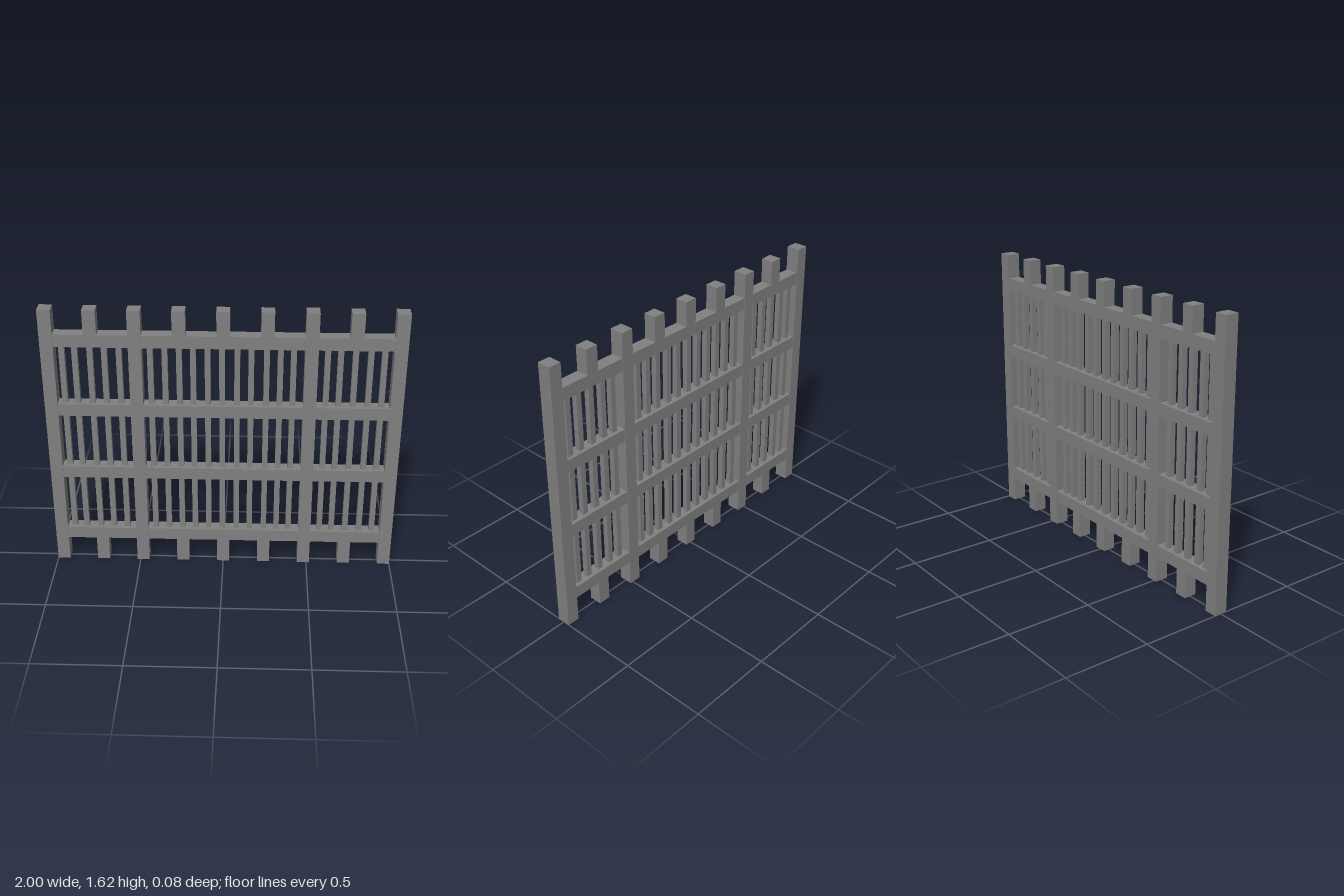
import * as THREE from 'three';

export function createModel() {
  const group = new THREE.Group();
  const grey = new THREE.MeshStandardMaterial({ color: 0x808080 });
  grey.name = 'iron grey';

  const HEIGHT = 1.62, WIDTH = 0.073, SPACING = 0.241;
  const RAIL_DEPTH = 0.074, POST_DEPTH = 0.08;
  const rails = [0.187, 0.61, 1.015, 1.439];

  // box spanning y0..y1, centred on x and z = 0
  function box(name, x, y0, y1, w, d) {
    const mesh = new THREE.Mesh(new THREE.BoxGeometry(w, y1 - y0, d), grey);
    mesh.name = name;
    mesh.position.set(x, (y0 + y1) / 2, 0);
    group.add(mesh);
  }

  // full-height posts at every multiple of the spacing marked here, short stubs between them
  const railBottom = rails[0] - WIDTH / 2, railTop = rails[3] + WIDTH / 2;
  for (let i = -4; i <= 4; i++) {
    const x = i * SPACING;
    if (i !== 0 && i % 2 === 0) {
      box('post', x, 0, HEIGHT, WIDTH, POST_DEPTH);
    } else {
      box('lowerStub', x, 0, railBottom, WIDTH, RAIL_DEPTH);
      box('upperStub', x, railTop, HEIGHT, WIDTH, RAIL_DEPTH);
    }
  }

  // horizontal rails, split between the posts
  const postX = [-4, -2, 2, 4].map((i) => i * SPACING);
  for (const y of rails) {
    for (let s = 0; s < 3; s++) {
      const a = postX[s] + WIDTH / 2, b = postX[s + 1] - WIDTH / 2;
      box('rail', (a + b) / 2, y - WIDTH / 2, y + WIDTH / 2, b - a, RAIL_DEPTH);
    }
  }

  // slim, slightly unevenly spaced bars between neighbouring rails
  const bars = [
    -0.888, -0.817, -0.733, -0.654, -0.573,
    -0.402, -0.322, -0.243, -0.166, -0.086, -0.006, 0.077, 0.154, 0.239, 0.314, 0.386,
    0.571, 0.642, 0.723, 0.806, 0.881,
  ];
  for (const x of bars) {
    for (let r = 0; r < 3; r++) {
      box('bar', x, rails[r] + WIDTH / 2, rails[r + 1] - WIDTH / 2, 0.032, 0.032);
    }
  }
  return group;
}
